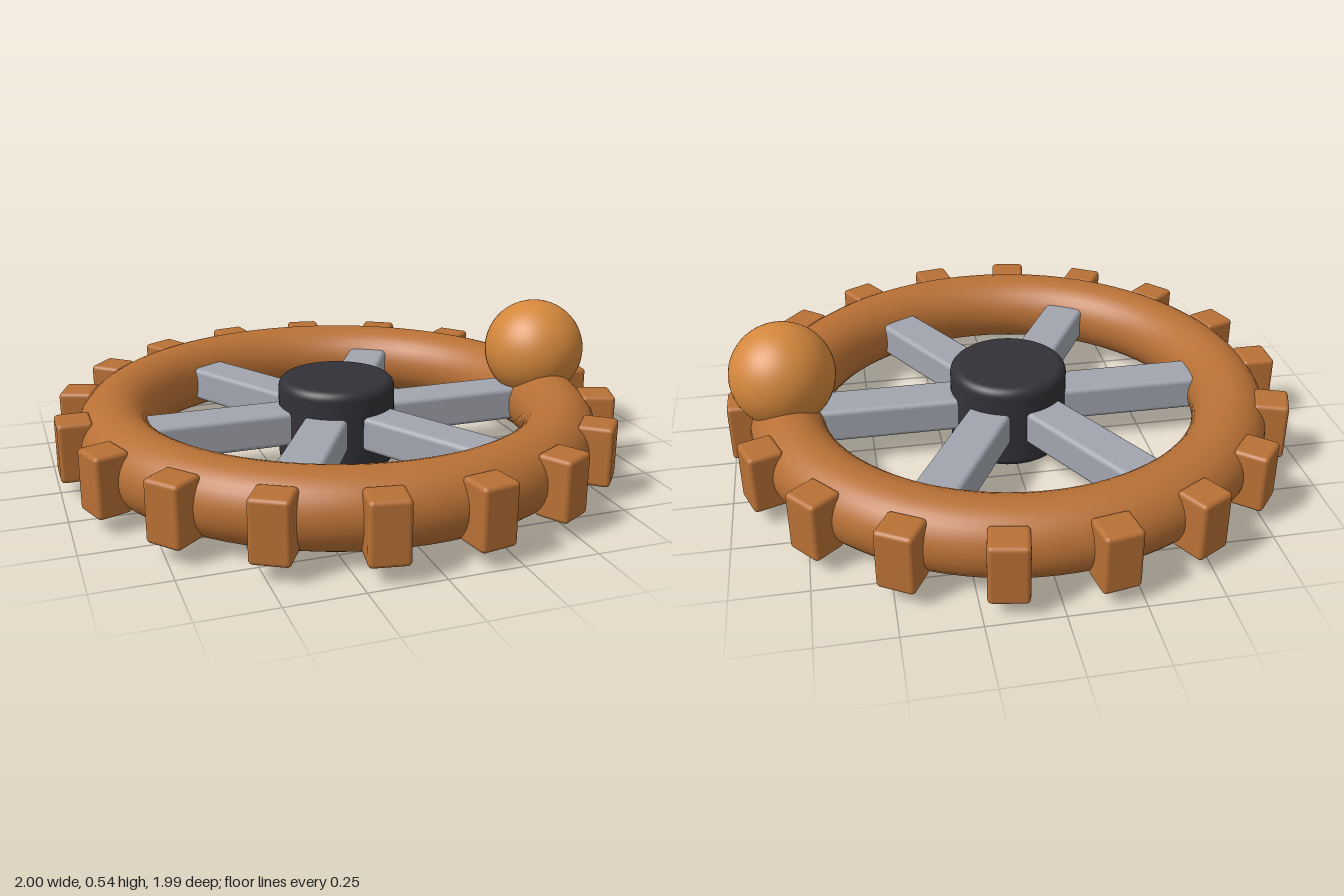
import * as THREE from 'three';
import { RoundedBoxGeometry } from 'three/addons/geometries/RoundedBoxGeometry.js';

const MID = 0.16; // height of the wheel's middle plane

function material(name, color) {
  const m = new THREE.MeshStandardMaterial({ color });
  m.name = name;
  return m;
}

export function createModel() {
  const model = new THREE.Group();
  model.name = 'gearWheel';
  const copper = material('copper', 0xb87035);
  const bronze = material('bronze', 0xd4873c);
  const steel = material('steel grey', 0xa1a5ae);
  const charcoal = material('charcoal', 0x323137);

  const add = (name, geometry, mat, x = 0, y = MID, z = 0) => {
    const mesh = new THREE.Mesh(geometry, mat);
    mesh.name = name;
    mesh.position.set(x, y, z);
    model.add(mesh);
    return mesh;
  };

  // Places copies of a part around the axle at a given radius
  const ring = (name, count, radius, geometry, mat) => {
    for (let i = 0; i < count; i++) {
      const a = (i / count) * Math.PI * 2;
      const part = add(name + (i + 1), geometry, mat, Math.cos(a) * radius, MID, -Math.sin(a) * radius);
      part.rotation.y = a;
    }
  };

  // Rim
  const rim = new THREE.TorusGeometry(0.8, 0.13, 32, 96);
  rim.rotateX(Math.PI / 2);
  add('rim', rim, copper);

  // Teeth around the rim
  ring('tooth', 18, 0.94, new RoundedBoxGeometry(0.12, 0.21, 0.13, 3, 0.015), copper);

  // Spokes, running from inside the hub into the rim
  ring('spoke', 6, 0.42, new RoundedBoxGeometry(0.64, 0.125, 0.155, 3, 0.018), steel);

  // Hub: a drum with rounded edges
  const R = 0.21, H = 0.16, B = 0.035;
  const outline = new THREE.Path();
  outline.moveTo(0, -H);
  outline.lineTo(R - B, -H);
  outline.absarc(R - B, -H + B, B, -Math.PI / 2, 0, false);
  outline.lineTo(R, H - B);
  outline.absarc(R - B, H - B, B, 0, Math.PI / 2, false);
  outline.lineTo(0, H);
  add('hub', new THREE.LatheGeometry(outline.getPoints(6), 64), charcoal);

  // Ball knob sitting on the rim
  add('knob', new THREE.SphereGeometry(0.185, 48, 32), bronze, 0.8, 0.35, 0);

  return model;
}
